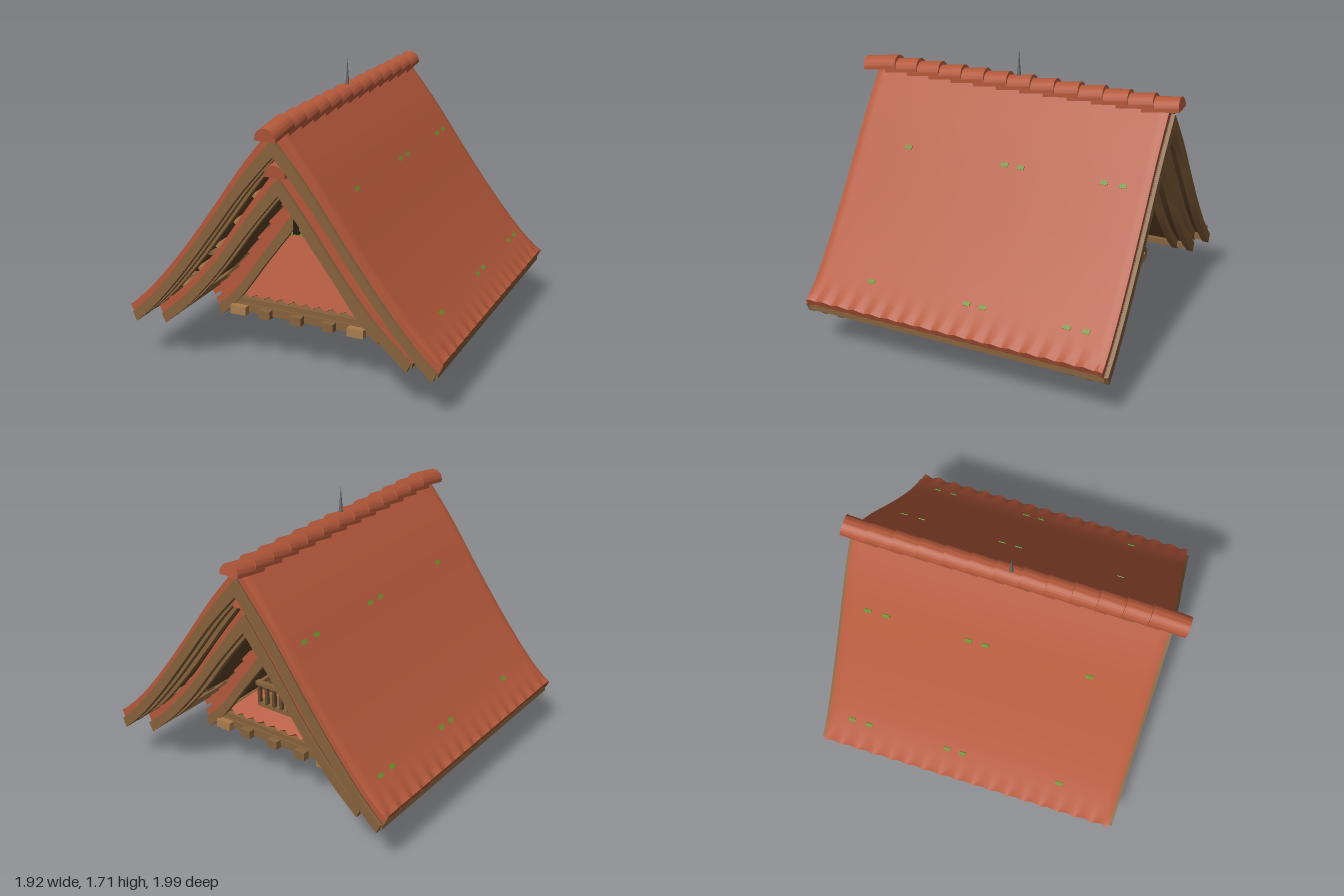
import * as THREE from 'three';
import { mergeGeometries, toCreasedNormals } from 'three/addons/utils/BufferGeometryUtils.js';

const material = (name, color) => {
  const m = new THREE.MeshStandardMaterial({ color });
  m.name = name;
  return m;
};

export function createModel() {
  const tile = material('clayTile', 0xb3583a);
  const wood = material('timber', 0x86623c);
  const darkWood = material('darkTimber', 0x65482b);
  const lightWood = material('lightTimber', 0xa97c4b);
  const plaster = material('plaster', 0x9f9a86);
  const dark = material('darkOpening', 0x2a1d15);
  const leafGreen = material('darkLeaf', 0x1f3d0a);
  const leafLight = material('lightLeaf', 0x3a6412);
  const mossGreen = material('moss', 0x6c8f2c);
  const iron = material('iron', 0x6a6a68);

  const model = new THREE.Group();
  const add = (name, geo, mat, parent = model) => {
    const mesh = new THREE.Mesh(geo, mat);
    mesh.name = name;
    parent.add(mesh);
    return mesh;
  };
  const box = (name, w, h, d, x, y, z, mat, parent) => {
    const mesh = add(name, new THREE.BoxGeometry(w, h, d), mat, parent);
    mesh.position.set(x, y, z);
    return mesh;
  };

  // Half-roof profiles from ridge to eave
  const profile = (...pts) => new THREE.SplineCurve(pts.map(([x, y]) => new THREE.Vector2(x, y)));
  const outer = profile([0, 1.54], [0.2, 1.295], [0.4, 1.015], [0.6, 0.745], [0.8, 0.505], [0.955, 0.355]);
  const middle = profile([0, 1.31], [0.2, 1.045], [0.4, 0.765], [0.6, 0.53], [0.79, 0.355]);
  const inner = profile([0, 1.07], [0.2, 0.79], [0.38, 0.535], [0.535, 0.37]);

  // Point at fraction t, sunk by o beneath the roof surface
  const sink = (curve, t, o) => {
    const p = curve.getPoint(t);
    return new THREE.Vector2(Math.max(0, p.x - 0.4 * o * t * t), p.y - o * (1.65 - 0.75 * t));
  };

  // Curved slab on one slope between two depths, from z0 to z1, down to fraction tEnd
  function band(curve, side, o0, o1, z0, z1, { waves = 0, tEnd = 1 } = {}) {
    const n = 16, pts = [];
    for (let i = 0; i <= n; i++) pts.push(sink(curve, tEnd * i / n, o0));
    for (let i = n; i >= 0; i--) pts.push(sink(curve, tEnd * i / n, o1));
    pts.forEach(p => { p.x *= side; });
    const steps = waves ? waves * 4 : 1;
    const geo = new THREE.ExtrudeGeometry(new THREE.Shape(pts), { depth: z1 - z0, steps, bevelEnabled: false });
    if (waves) {
      // Scalloped eave and rolled-down verge
      const pos = geo.attributes.position, end = curve.getPoint(1).x;
      for (let i = 0; i < pos.count; i++) {
        const k = Math.round(pos.getZ(i) / (z1 - z0) * steps);
        const t = Math.max(0, (Math.abs(pos.getX(i)) / end - 0.95) / 0.05);
        const w = Math.cos(k * Math.PI / 2) * 0.009 * t;
        pos.setX(i, pos.getX(i) + side * w * 0.8);
        pos.setY(i, pos.getY(i) + w - (k === 0 || k === steps ? 0.012 : 0));
      }
    }
    geo.translate(0, 0, z0);
    return toCreasedNormals(geo, 0.6);
  }

  // Overlapping half-round ridge tiles
  function ridge(name, y, z0, z1, parent) {
    const shape = new THREE.Shape();
    shape.absarc(0, 0, 0.062, -0.15, Math.PI + 0.15, false);
    const length = 0.218;
    const geo = new THREE.ExtrudeGeometry(shape, { depth: length, bevelEnabled: false, curveSegments: 14 });
    geo.translate(0, 0, -length / 2);
    const smooth = toCreasedNormals(geo, 0.7);
    const count = Math.round((z1 - z0 - length) / 0.148) + 1;
    for (let i = 0; i < count; i++) {
      const m = add(name, smooth, tile, parent);
      m.position.set(0, y, z0 + length / 2 + (z1 - z0 - length) * i / (count - 1));
      m.rotation.x = 0.14;
    }
  }

  // One complete gabled roof
  function roof(name, curve, z0, z1, waves, rafters, ridgeY, ridgeEnd) {
    const g = new THREE.Group();
    g.name = name;
    model.add(g);
    for (const side of [1, -1]) {
      add('roofTiles', band(curve, side, 0, 0.045, z0 + 0.025, z1 - 0.02, { waves }), tile, g);
      add('roofBoards', band(curve, side, 0.045, 0.06, z0 + 0.02, z1 - 0.02), darkWood, g);
      for (const inset of rafters) {
        add('rafter', band(curve, side, 0.046, 0.106, z1 - inset - 0.04, z1 - inset), wood, g);
        add('rafter', band(curve, side, 0.046, 0.106, z0 + inset, z0 + inset + 0.04), wood, g);
      }
      const e = sink(curve, 0.97, 0.075);
      box('eaveBeam', 0.05, 0.035, z1 - z0 - 0.04, side * e.x, e.y, (z0 + z1) / 2, wood, g);
    }
    ridge('ridgeTile', ridgeY, -ridgeEnd, ridgeEnd, g);
  }
  roof('outerRoof', outer, -0.955, 0.92, 17, [0, 0.09, 0.2], 1.492, 0.993);
  roof('middleRoof', middle, -0.9, 0.87, 16, [0, 0.1], 1.27, 0.9);
  roof('innerRoof', inner, -0.67, 0.66, 12, [0], 1.02, 0.685);

  for (const side of [1, -1]) {
    // Plaster infill, posts and purlins between the two large roofs
    for (const z of [-0.48, 0.44]) {
      const zf = z + 0.01;
      add('plasterInfill', band(outer, side, 0.09, 0.19, z, z + 0.02, { tEnd: 0.78 }), plaster);
      add('innerInfill', band(middle, side, 0.09, 0.19, z, z + 0.02, { tEnd: 0.74 }), darkWood);
      box('gablePost', 0.04, 0.2, 0.06, side * 0.22, 1.06, zf, wood);
      box('gableTie', 0.13, 0.025, 0.06, side * 0.63, 0.565, zf, wood);
      box('gableSill', 0.2, 0.025, 0.06, side * 0.76, 0.39, zf, wood);
    }
    for (const t of [0.27, 0.4, 0.53, 0.66, 0.78]) {
      const p = sink(outer, t, 0.118);
      box('purlin', 0.035, 0.03, 1.3, side * p.x, p.y, -0.015, lightWood).rotation.z = -side * 0.9;
    }
    // Stepped tile courses along the inner roof
    add('tileBed', band(inner, side, -0.035, 0.01, -0.61, 0.61, { tEnd: 0.95 }), tile);
    for (let i = 1; i <= 8; i++) {
      const t = i / 8.4, p = inner.getPoint(t), d = inner.getTangent(t);
      const m = box('tileCourse', 0.09, 0.03, 1.22, side * (p.x + 0.018), p.y + 0.026, 0, tile);
      m.rotation.z = side * (Math.atan2(d.y, d.x) + 0.12);
    }
  }

  // Tiled hip inside each end of the inner roof; the rear one lies low under a balcony
  function hip(name, rise, z, tilt) {
    const half = 0.4, topHalf = half * (1 - rise / 0.55);
    const shape = new THREE.Shape();
    shape.moveTo(-half, 0);
    for (let i = 1; i <= 20; i++) shape.lineTo(-half + half * i / 10, i % 2 ? 0.022 : 0);
    shape.lineTo(topHalf, rise);
    shape.lineTo(-topHalf, rise);
    const m = add(name, new THREE.ExtrudeGeometry(shape, { depth: 0.02, bevelEnabled: false }), tile);
    m.position.set(0, 0.395, z);
    m.rotation.x = tilt;
  }
  hip('frontHip', 0.52, 0.61, -0.3);
  hip('rearHip', 0.2, -0.63, 0.85);

  // Vent slot in the front gable
  box('ventSlot', 0.036, 0.085, 0.02, 0, 0.892, 0.653, dark);
  box('ventSlotTop', 0.025, 0.025, 0.02, 0, 0.934, 0.653, dark).rotation.z = Math.PI / 4;
  box('ventMoss', 0.07, 0.01, 0.02, 0, 0.847, 0.645, mossGreen);

  // Rear wall, opening and balcony
  const wall = new THREE.Shape([[-0.36, 0.38], [0.36, 0.38], [0, 0.9]].map(p => new THREE.Vector2(...p)));
  add('rearWall', new THREE.ExtrudeGeometry(wall, { depth: 0.02, bevelEnabled: false }), darkWood).position.z = -0.4;
  box('rearDoor', 0.16, 0.2, 0.008, 0, 0.62, -0.404, dark);
  box('balconyFloor', 0.34, 0.025, 0.18, 0, 0.51, -0.51, wood);
  for (let i = -3; i <= 3; i++) box('baluster', 0.02, 0.12, 0.02, i * 0.053, 0.58, -0.59, darkWood);
  box('balconyRail', 0.36, 0.022, 0.03, 0, 0.645, -0.59, wood);
  for (const s of [1, -1]) box('balconySideRail', 0.022, 0.022, 0.18, s * 0.16, 0.645, -0.51, wood);

  // Timber base frame with projecting joists
  for (const s of [1, -1]) {
    box('sideSill', 0.1, 0.05, 1.3, s * 0.45, 0.34, 0, wood);
    box('endSill', 1.0, 0.05, 0.1, 0, 0.34, s * 0.6, wood);
    box('endPlate', 0.8, 0.03, 0.06, 0, 0.38, s * 0.61, wood);
    for (const x of [-0.37, -0.2, 0, 0.2, 0.37]) {
      const outerJoist = Math.abs(x) > 0.3;
      box('endJoist', outerJoist ? 0.1 : 0.07, 0.05, 0.16, x, 0.334, s * 0.61, outerJoist ? lightWood : wood);
    }
    for (let i = -3; i <= 3; i++) {
      box('sideJoist', 0.14, 0.045, 0.07, s * 0.45, 0.333, i * 0.17, i % 2 ? lightWood : wood);
    }
    box('ceilingPanel', 0.12, 0.012, 0.6, s * 0.2, 0.358, 0, plaster);
  }
  box('floor', 0.84, 0.015, 1.16, 0, 0.378, 0, darkWood);
  box('centreBeam', 0.1, 0.04, 1.1, 0, 0.345, 0, wood);

  // Roof finial
  add('finial', new THREE.ConeGeometry(0.013, 0.17, 8), iron).position.set(0, 1.627, -0.012);

  // Moss flecks lying on the outer slopes
  for (const side of [1, -1]) {
    for (const [t, zs] of [[0.32, [0.55, -0.07, -0.17, -0.67, -0.78]], [0.82, [0.54, -0.07, -0.17, -0.67, -0.78]]]) {
      const p = outer.getPoint(t), d = outer.getTangent(t);
      for (const z of zs) {
        const m = box('mossFleck', 0.024, 0.007, 0.042, side * p.x, p.y + 0.001, z, mossGreen);
        m.rotation.z = side * Math.atan2(d.y, d.x);
      }
    }
  }

  // Hanging foliage: a thin core with small leaves
  const core = new THREE.Shape([[-0.13, 0.33], [-0.13, 0.17], [-0.06, 0.1], [0.05, 0.09], [0.11, 0.15], [0.14, 0.33]]
    .map(p => new THREE.Vector2(...p)));
  add('foliageCore', new THREE.ExtrudeGeometry(core, { depth: 0.012, bevelEnabled: false }), leafGreen).position.z = -0.015;
  let seed = 7;
  const rand = () => (seed = (seed * 16807) % 2147483647) / 2147483647;
  const leaves = [[], []];
  for (let i = 0; i < 200; i++) {
    const y = 0.02 + 0.28 * rand();
    const half = y < 0.1 ? 0.055 : Math.min(0.14, 0.07 + (y - 0.1) * 0.8);
    const leaf = new THREE.ConeGeometry(0.016, 0.035, 3);
    leaf.scale(1, 1, 0.35);
    leaf.rotateZ(rand() * 6.28);
    leaf.translate((rand() * 2 - 1) * half + 0.008, y, (rand() - 0.5) * 0.024 - 0.008);
    leaves[i % 4 ? 0 : 1].push(leaf);
  }
  add('darkLeaves', mergeGeometries(leaves[0]), leafGreen);
  add('lightLeaves', mergeGeometries(leaves[1]), leafLight);

  return model;
}
